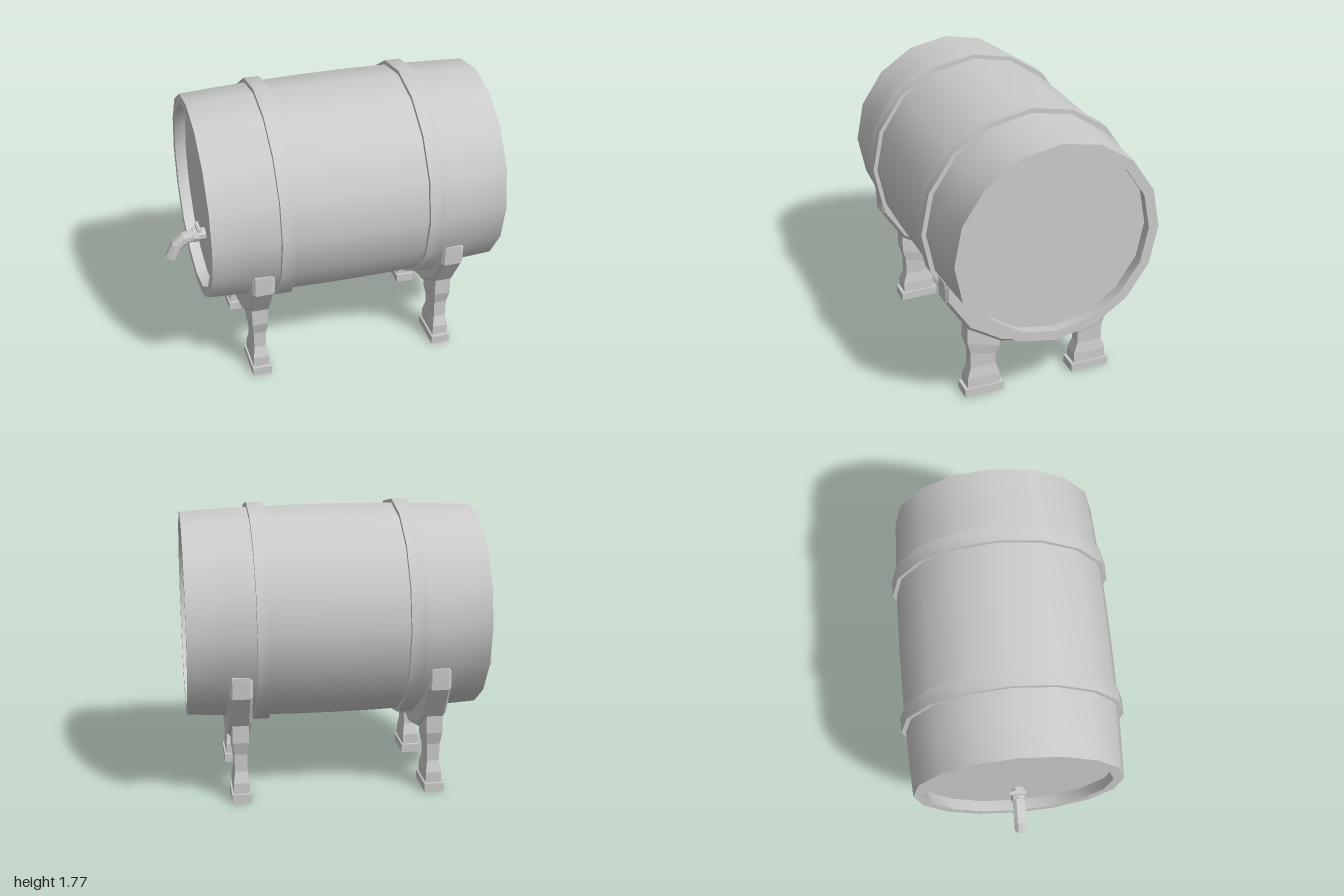
import * as THREE from 'three';
import { toCreasedNormals } from 'three/addons/utils/BufferGeometryUtils.js';

const AXIS_Y = 1.09; // height of the barrel's axis
const SIDES = 16;

const smooth = new THREE.MeshStandardMaterial({ color: 0xcccccc });
const flat = new THREE.MeshStandardMaterial({ color: 0xcccccc, flatShading: true });

function add(parent, name, geometry, material) {
  const mesh = new THREE.Mesh(geometry, material);
  mesh.name = name;
  parent.add(mesh);
  return mesh;
}

// Closed solid through convex rings of points, each counter-clockwise about the direction of travel
function loft(rings) {
  const pos = [];
  const tri = (...pts) => pts.forEach((p) => pos.push(p.x, p.y, p.z));
  const n = rings[0].length;
  for (let i = 0; i < rings.length - 1; i++) {
    const [r, s] = [rings[i], rings[i + 1]];
    for (let j = 0; j < n; j++) {
      const k = (j + 1) % n;
      tri(r[j], r[k], s[k]);
      tri(r[j], s[k], s[j]);
    }
  }
  const first = rings[0], last = rings[rings.length - 1];
  for (let j = 1; j < n - 1; j++) {
    tri(first[0], first[j + 1], first[j]);
    tri(last[0], last[j], last[j + 1]);
  }
  const g = new THREE.BufferGeometry();
  g.setAttribute('position', new THREE.Float32BufferAttribute(pos, 3));
  g.computeVertexNormals();
  return g;
}

// Turned part around the x axis, from [radius, x] pairs
function turned(profile) {
  const g = new THREE.LatheGeometry(profile.map(([r, x]) => new THREE.Vector2(r, x)), SIDES);
  g.rotateZ(-Math.PI / 2);
  g.translate(0, AXIS_Y, 0);
  return toCreasedNormals(g, 0.6);
}

// Curved cradle hugging the underside of the barrel
function cradleGeometry() {
  const half = [[0, 0.3, 0.07], [0.25, 0.355, 0.07], [0.46, 0.49, 0.07], [0.595, 0.7, 0.07], [0.598, 0.8, 0.07], [0.598, 0.832, 0.058]];
  const mirrored = half.slice(1).reverse().map(([z, y, w]) => [-z, y, w]);
  return loft([...mirrored, ...half].map(([z, y, w]) => {
    const outer = Math.hypot(z, y - AXIS_Y);
    const at = (x, r) => new THREE.Vector3(x, AXIS_Y + (y - AXIS_Y) * r / outer, z * r / outer);
    const bevel = Math.min(0.02, (outer - 0.62) * 0.5);
    return [at(-w, 0.62), at(-w, outer - bevel), at(-0.052, outer),
      at(0.052, outer), at(w, outer - bevel), at(w, 0.62)];
  }));
}

// Waisted leg: inner height, outer height, inner z, outer z, half width
function legGeometry() {
  const sections = [
    [0.04, 0.04, 0.25, 0.46, 0.05],
    [0.12, 0.12, 0.25, 0.46, 0.048],
    [0.19, 0.19, 0.275, 0.437, 0.038],
    [0.26, 0.3, 0.275, 0.437, 0.04],
    [0.32, 0.38, 0.25, 0.46, 0.05],
    [0.42, 0.53, 0.25, 0.46, 0.05],
  ];
  return loft(sections.map(([yi, yo, zi, zo, w]) => [
    new THREE.Vector3(-w, yo, zo), new THREE.Vector3(w, yo, zo),
    new THREE.Vector3(w, yi, zi), new THREE.Vector3(-w, yi, zi),
  ]));
}

// Bent spout along a path in the xy plane
function spoutGeometry(radius) {
  const path = [[-0.73, 0.807], [-0.81, 0.807], [-0.87, 0.795], [-0.925, 0.75], [-0.965, 0.67]];
  return loft(path.map(([x, y], i) => {
    const a = path[Math.max(i - 1, 0)], b = path[Math.min(i + 1, path.length - 1)];
    const t = new THREE.Vector2(b[0] - a[0], b[1] - a[1]).normalize();
    return Array.from({ length: 8 }, (_, j) => {
      const angle = (j + 0.5) * Math.PI / 4;
      const u = radius * Math.cos(angle);
      return new THREE.Vector3(x - t.y * u, y + t.x * u, radius * Math.sin(angle));
    });
  }));
}

export function createModel() {
  const model = new THREE.Group();
  model.name = 'barrelOnStand';

  // Bulging staves with recessed heads at both ends
  const staves = [];
  for (let i = 0; i <= 8; i++) {
    const t = i / 4 - 1;
    staves.push([0.66 - 0.027 * t * t, 0.095 + 0.905 * t]);
  }
  add(model, 'barrel', turned([
    [0, -0.74], [0.578, -0.74], [0.57, -0.81], ...staves,
    [0.57, 1], [0.578, 0.93], [0, 0.93],
  ]), smooth);

  // Hoops
  for (const x of [-0.357, 0.547]) {
    add(model, 'hoop', turned([
      [0.62, x - 0.048], [0.68, x - 0.048], [0.68, x + 0.048], [0.62, x + 0.048],
    ]), smooth);
  }

  // Stands: a cradle on two legs with feet
  for (const x of [-0.505, 0.69]) {
    const stand = new THREE.Group();
    stand.name = 'stand';
    stand.position.x = x;
    model.add(stand);
    add(stand, 'cradle', cradleGeometry(), flat);
    for (const turn of [0, Math.PI]) {
      const leg = new THREE.Group();
      leg.name = 'leg';
      leg.rotation.y = turn;
      stand.add(leg);
      add(leg, 'legPost', legGeometry(), flat);
      add(leg, 'foot', new THREE.BoxGeometry(0.12, 0.055, 0.25), flat).position.set(0, 0.0275, 0.355);
    }
  }

  // Tap with collar and turning key
  const tap = new THREE.Group();
  tap.name = 'tap';
  model.add(tap);
  add(tap, 'spout', spoutGeometry(0.04), flat);
  const collar = add(tap, 'collar', new THREE.CylinderGeometry(0.047, 0.047, 0.03, 8), flat);
  collar.rotation.z = Math.PI / 2;
  collar.position.set(-0.803, 0.807, 0);
  add(tap, 'key', new THREE.BoxGeometry(0.022, 0.022, 0.1), flat).position.set(-0.785, 0.86, 0);

  return model;
}
